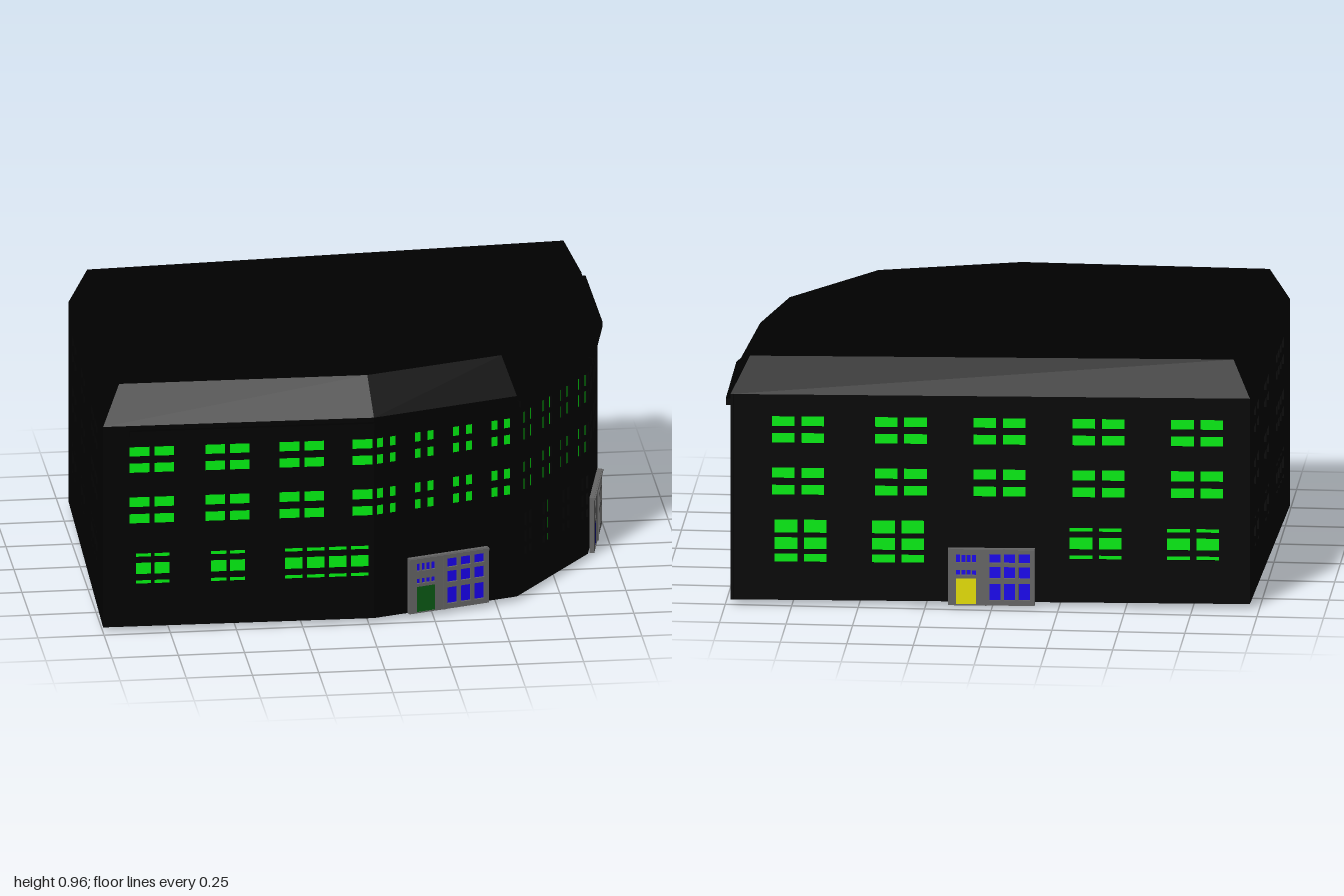
import * as THREE from 'three';

const mat = (color) => new THREE.MeshStandardMaterial({ color, side: THREE.DoubleSide });
const black = mat(0x000000), lit = mat(0x00f010), grey = mat(0x666666), blue = mat(0x1800f0);

const BASE = 0.02, EAVE = 0.82, TOP = 0.96;
// Footprint corners [x, z], counter-clockwise from the front right-hand corner, and the inset roof deck
const foot = [[-1, 0.72], [0.02, 0.74], [0.58, 0.57], [0.9, 0.14], [0.983, -0.25], [0.98, -0.75], [-0.965, -0.65]];
const deck = [[-0.93, 0.64], [0.005, 0.655], [0.53, 0.5], [0.83, 0.1], [0.91, -0.26], [0.91, -0.71], [-0.9, -0.61]];

// Row heights [bottom, top] for the window types
const upperLow = [[0.695, 0.735], [0.63, 0.67], [0.493, 0.535], [0.428, 0.468]];
const upperTall = [[0.69, 0.74], [0.623, 0.675], [0.494, 0.54], [0.425, 0.474]];
const groundLow = [[0.294, 0.31], [0.225, 0.273], [0.187, 0.203]];
const groundTall = [[0.28, 0.333], [0.216, 0.264], [0.167, 0.2]];

// Window banks: starts along the axis, pane count, pane width, pitch, rows
const walls = [
  { name: 'frontWall', axis: 0, gutterFrom: 0.1, banks: [
    [[-0.9, -0.615, -0.335], 2, 0.075, 0.093, upperLow], [[-0.06], 1, 0.075, 0, upperLow],
    [[-0.877, -0.593], 2, 0.058, 0.07, groundLow], [[-0.315], 4, 0.067, 0.083, groundLow]] },
  { name: 'frontCornerWall', axis: 0, gutterFrom: 0, banks: [
    [[0.032, 0.18, 0.33, 0.48], 2, 0.027, 0.05, upperLow]],
  entrance: { at: 0.152, y: 0.02, color: 0x0a5a14 } },
  { name: 'cornerWall', axis: 1, gutterFrom: 0, banks: [
    [[0.53, 0.415, 0.31, 0.2], 2, 0.018, 0.04, upperTall],
    [[0.525, 0.415, 0.295, 0.18], 2, 0.014, 0.028, groundTall]] },
  { name: 'sideCornerWall', axis: 1, gutterFrom: 0, banks: [
    [[0.129], 1, 0.02, 0, upperTall], [[0.052, -0.06, -0.173], 2, 0.021, 0.039, upperTall]],
  entrance: { at: 0.08, y: 0, color: 0x0c0c80 } },
  { name: 'leftSideWall', axis: 1, gutterFrom: 0, banks: [
    [[-0.282, -0.41], 2, 0.029, 0.042, upperTall], [[-0.54], 4, 0.029, 0.044, upperTall],
    [[-0.34, -0.468], 2, 0.018, 0.033, groundTall], [[-0.597], 3, 0.022, 0.036, groundTall]] },
  { name: 'backWall', axis: 0, banks: [
    [[0.825, 0.44, 0.07, -0.3, -0.67], 2, 0.085, 0.11, upperLow],
    [[0.815, 0.45], 2, 0.085, 0.11, groundTall], [[-0.29, -0.655], 2, 0.085, 0.11, groundLow]],
  entrance: { at: 0.165, y: 0.01, color: 0xe6e000 } },
  { name: 'rightSideWall', axis: 1, banks: [
    [[-0.51, -0.165], 2, 0.075, 0.095, upperLow], [[0.23], 4, 0.06, 0.07, upperLow],
    [[-0.51, -0.165], 2, 0.075, 0.095, groundLow], [[0.23], 4, 0.06, 0.07, groundLow]] },
];

function add(group, name, geometry, material, x = 0, y = 0, z = 0) {
  const mesh = new THREE.Mesh(geometry, material);
  mesh.name = name;
  mesh.position.set(x, y, z);
  group.add(mesh);
  return mesh;
}

function rectPath(path, x0, y0, x1, y1) {
  path.moveTo(x0, y0).lineTo(x1, y0).lineTo(x1, y1).lineTo(x0, y1).closePath();
  return path;
}

// Flat slab with rectangular openings [x0, y0, x1, y1]
function slab(x0, y0, x1, y1, holes, depth) {
  const shape = rectPath(new THREE.Shape(), x0, y0, x1, y1);
  shape.holes = holes.map((h) => rectPath(new THREE.Path(), ...h));
  return new THREE.ExtrudeGeometry(shape, { depth, bevelEnabled: false });
}

// Doorway surround with a door, four small lights above it and a 3 x 3 window
function entrance(color) {
  const g = new THREE.Group();
  g.name = 'entrance';
  const holes = [[0.03, 0.004, 0.105, 0.105]];
  for (let i = 0; i < 4; i++) {
    for (const [a, b] of [[0.117, 0.137], [0.167, 0.197]]) {
      holes.push([0.03 + i * 0.02, a, 0.045 + i * 0.02, b]);
    }
  }
  for (let i = 0; i < 3; i++) {
    for (const [a, b] of [[0.02, 0.085], [0.105, 0.15], [0.165, 0.2]]) {
      holes.push([0.155 + i * 0.055, a, 0.197 + i * 0.055, b]);
    }
  }
  add(g, 'entranceSurround', slab(0, 0, 0.325, 0.22, holes, 0.018), grey);
  add(g, 'entranceGlass', new THREE.PlaneGeometry(0.31, 0.2), blue, 0.1625, 0.11, 0.009);
  add(g, 'door', new THREE.BoxGeometry(0.075, 0.105, 0.01), mat(color), 0.0675, 0.0525, 0.01);
  add(g, 'entrancePost', new THREE.BoxGeometry(0.006, 0.22, 0.006), grey, 0.142, 0.11, 0.02);
  add(g, 'entranceLintel', new THREE.BoxGeometry(0.325, 0.008, 0.006), grey, 0.1625, 0.214, 0.02);
  return g;
}

function buildWall(spec, p, q) {
  const g = new THREE.Group();
  g.name = spec.name;
  const along = new THREE.Vector3(q[0] - p[0], 0, q[1] - p[1]);
  const length = along.length();
  along.normalize();
  const up = new THREE.Vector3(0, 1, 0);
  g.applyMatrix4(new THREE.Matrix4().makeBasis(along, up, along.clone().cross(up)));
  g.position.set(p[0], 0, p[1]);

  const span = q[spec.axis] - p[spec.axis];
  const toWall = (v) => ((v - p[spec.axis]) / span) * length;
  const scale = length / Math.abs(span);
  const holes = [];
  for (const [starts, count, width, pitch, rows] of spec.banks) {
    for (const start of starts) {
      const u = toWall(start);
      for (let i = 0; i < count; i++) {
        const a = u + i * pitch * scale;
        for (const [y0, y1] of rows) holes.push([a, y0, a + width * scale, y1]);
      }
    }
  }
  add(g, 'wallPanel', slab(0, BASE, length, EAVE, holes, 0.012), black, 0, 0, -0.012);
  // Glass set back behind each opening
  for (const [x0, y0, x1, y1] of holes) {
    add(g, 'windowPane', new THREE.PlaneGeometry(x1 - x0, y1 - y0), lit, (x0 + x1) / 2, (y0 + y1) / 2, -0.009);
  }
  if (spec.gutterFrom !== undefined) {
    const from = spec.gutterFrom;
    add(g, 'gutter', new THREE.BoxGeometry(length - from, 0.025, 0.03), black, (length + from) / 2, 0.79, 0.003);
  }
  if (spec.entrance) {
    const e = entrance(spec.entrance.color);
    e.position.set(toWall(spec.entrance.at), spec.entrance.y, 0);
    g.add(e);
  }
  return g;
}

// Horizontal cap from a plan outline
function plan(points) {
  const shape = new THREE.Shape(points.map(([x, z]) => new THREE.Vector2(x, -z)));
  return new THREE.ShapeGeometry(shape).rotateX(-Math.PI / 2);
}

export function createModel() {
  const model = new THREE.Group();
  model.name = 'building';
  const slopes = [];
  foot.forEach((p, i) => {
    const j = (i + 1) % foot.length;
    model.add(buildWall(walls[i], p, foot[j]));
    const a = [p[0], EAVE, p[1]], b = [foot[j][0], EAVE, foot[j][1]];
    const c = [deck[j][0], TOP, deck[j][1]], d = [deck[i][0], TOP, deck[i][1]];
    slopes.push(...a, ...b, ...c, ...a, ...c, ...d);
  });
  // Sloped roof edge, flat deck and floor
  const slope = new THREE.BufferGeometry();
  slope.setAttribute('position', new THREE.Float32BufferAttribute(slopes, 3));
  slope.computeVertexNormals();
  add(model, 'roofSlopes', slope, black);
  add(model, 'roofDeck', plan(deck), black, 0, TOP, 0);
  add(model, 'floor', plan(foot), black, 0, BASE, 0);
  return model;
}
